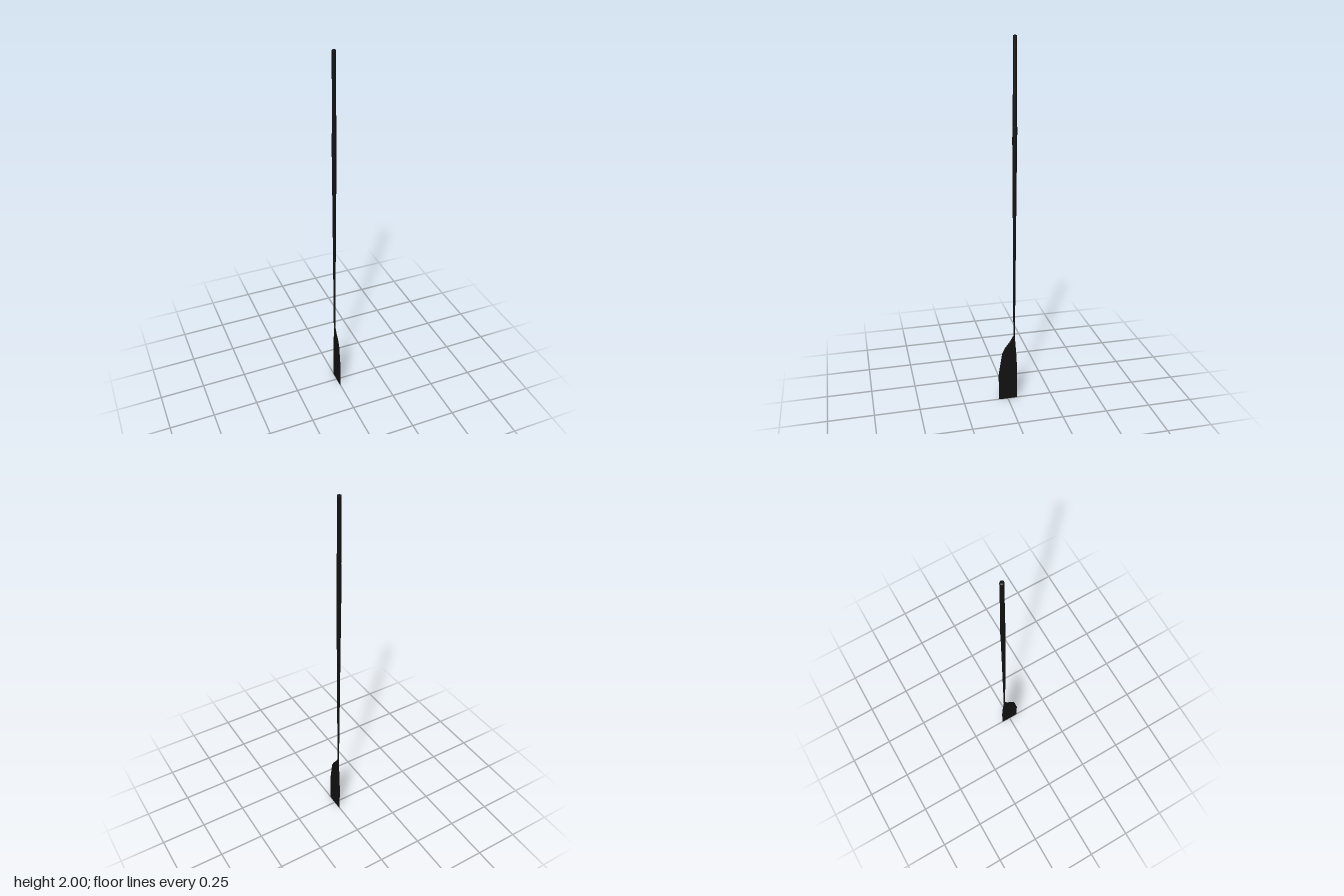
import * as THREE from 'three';

const SHAFT_Z = -0.035;
const material = new THREE.MeshStandardMaterial({ color: 0x111111 });

function addPart(group, name, geometry) {
  const mesh = new THREE.Mesh(geometry, material);
  mesh.name = name;
  group.add(mesh);
  return mesh;
}

// Lathe from [radius, y] pairs, listed bottom to top
function turned(pairs) {
  return new THREE.LatheGeometry(pairs.map(([r, y]) => new THREE.Vector2(r, y)), 24);
}

// Thin lens-shaped cross-sections joined along the blade's height
function bladeGeometry() {
  // y, back edge z, front edge z, half thickness
  const stations = [
    [0, -0.053, 0.053, 0.0016],
    [0.16, -0.053, 0.053, 0.0018],
    [0.2, -0.052, 0.047, 0.0019],
    [0.29, -0.047, 0.033, 0.0021],
    [0.325, -0.044, 0.015, 0.0024],
    [0.36, -0.041, -0.012, 0.003],
    [0.395, -0.038, -0.032, 0.0035],
  ];
  const half = 8, ring = half * 2, position = [], index = [];
  for (const [y, back, front, thick] of stations) {
    for (let i = 0; i < ring; i++) {
      const a = ((i + 0.5) / ring) * Math.PI * 2;
      const z = (back + front) / 2 + ((front - back) / 2) * Math.cos(a) / Math.cos(Math.PI / ring);
      position.push(thick * Math.sin(a), y, z);
    }
  }
  for (let s = 0; s < stations.length - 1; s++) {
    for (let i = 0; i < ring; i++) {
      const a = s * ring + i, b = s * ring + (i + 1) % ring;
      index.push(a, b, a + ring, b, b + ring, a + ring);
    }
  }
  // Closed ends
  const top = (stations.length - 1) * ring;
  for (let i = 1; i < ring - 1; i++) {
    index.push(0, i + 1, i, top, top + i, top + i + 1);
  }
  const geometry = new THREE.BufferGeometry();
  geometry.setAttribute('position', new THREE.Float32BufferAttribute(position, 3));
  geometry.setIndex(index);
  const flat = geometry.toNonIndexed();
  flat.computeVertexNormals();
  return flat;
}

export function createModel() {
  const group = new THREE.Group();
  group.name = 'oar';

  // Tapered shaft, its tip fading into the blade
  addPart(group, 'shaft', turned([
    [0, 0.33], [0.0015, 0.34], [0.0044, 0.39], [0.0066, 0.72],
    [0.0092, 1.1], [0.0119, 1.48], [0.0122, 1.52], [0.0112, 1.61],
  ])).position.z = SHAFT_Z;

  // Straight handle
  addPart(group, 'handle', turned([
    [0.0112, 1.61], [0.0105, 1.66], [0.0103, 1.995], [0.0098, 2], [0, 2],
  ])).position.z = SHAFT_Z;

  // Sleeve where the oar rests
  addPart(group, 'sleeve', turned([
    [0.0115, 1.46], [0.0125, 1.465], [0.0125, 1.555], [0.0115, 1.56],
  ])).position.z = SHAFT_Z;

  // Offset blade
  const blade = addPart(group, 'blade', bladeGeometry());
  blade.material = material.clone();
  blade.material.side = THREE.DoubleSide;

  return group;
}
